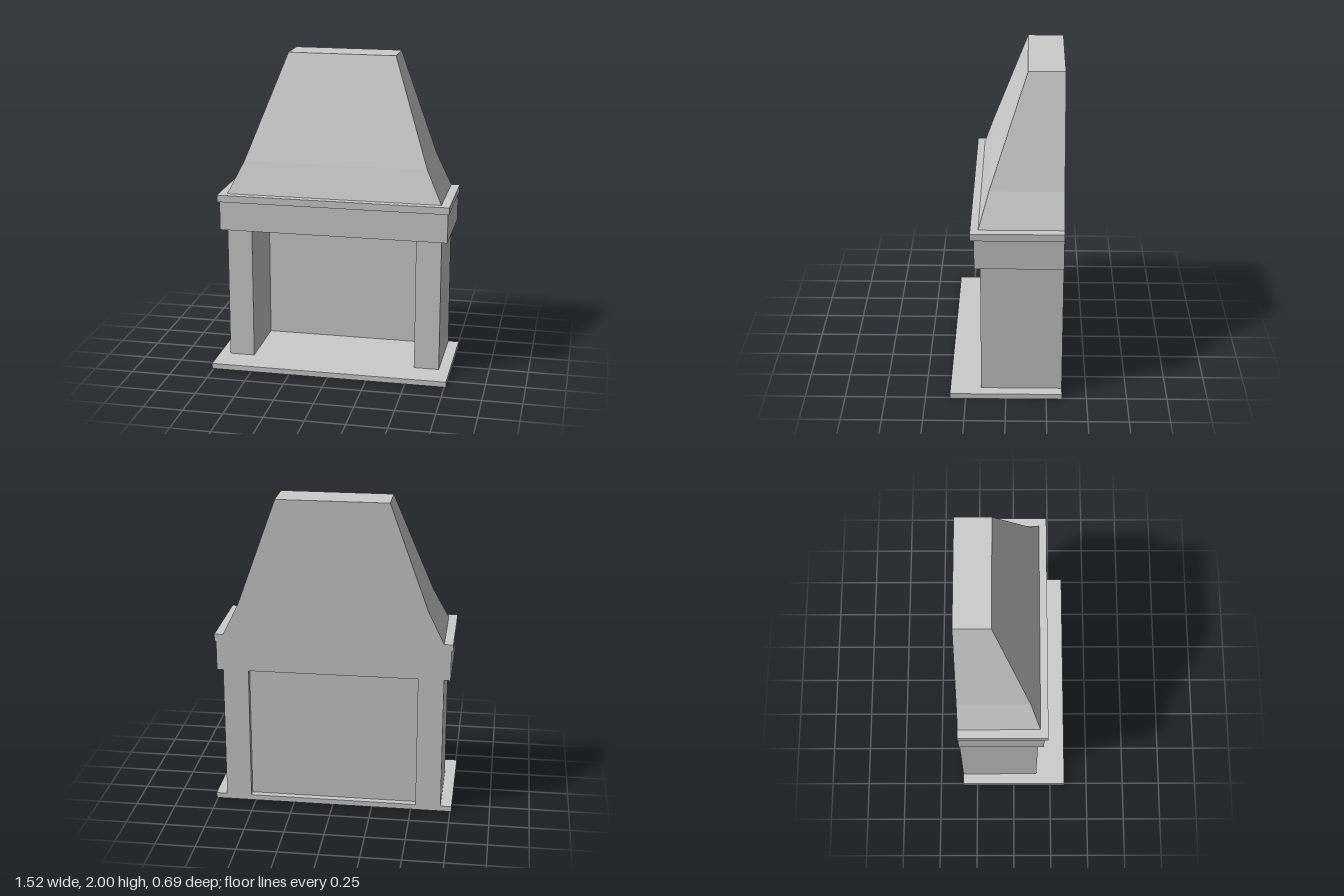
import * as THREE from 'three';

const BACK = -0.347;

export function createModel() {
  const group = new THREE.Group();
  const stone = new THREE.MeshStandardMaterial({ color: 0xcccccc });
  stone.name = 'pale grey stone';

  const add = (name, geometry) => {
    const mesh = new THREE.Mesh(geometry, stone);
    mesh.name = name;
    group.add(mesh);
    return mesh;
  };

  // Box given by its limits on each axis
  const block = (name, x0, x1, y0, y1, z0, z1) => {
    const mesh = add(name, new THREE.BoxGeometry(x1 - x0, y1 - y0, z1 - z0));
    mesh.position.set((x0 + x1) / 2, (y0 + y1) / 2, (z0 + z1) / 2);
    return mesh;
  };

  const rectangle = (Type, x0, x1, z0, z1) => new Type([
    [x0, z0], [x1, z0], [x1, z1], [x0, z1],
  ].map(([x, z]) => new THREE.Vector2(x, -z)));

  // Hearth slab, with sockets under the two side walls
  const slab = rectangle(THREE.Shape, -0.76, 0.76, BACK, 0.347);
  for (const s of [-1, 1]) {
    slab.holes.push(rectangle(THREE.Path, s * 0.53, s * 0.69, BACK + 0.006, 0.155));
  }
  add('hearthSlab', new THREE.ExtrudeGeometry(slab, { depth: 0.035, bevelEnabled: false })
    .rotateX(-Math.PI / 2));

  // Side walls and the recessed back of the firebox
  block('leftWall', 0.53, 0.69, 0.035, 0.895, BACK, 0.155);
  block('rightWall', -0.69, -0.53, 0.035, 0.895, BACK, 0.155);
  block('fireboxBack', -0.53, 0.53, 0.035, 0.895, -0.305, -0.293);

  // Lintel and mantel shelf
  block('lintel', -0.73, 0.73, 0.895, 1.085, BACK, 0.19);
  block('mantelShelf', -0.74, 0.74, 1.085, 1.13, BACK, 0.213);

  // Flared hood: rectangular sections as [height, half width, front z]
  const rings = [[1.13, 0.685, 0.165], [1.335, 0.585, 0.103], [2, 0.345, -0.125]]
    .map(([y, w, z]) => [[-w, y, z], [w, y, z], [w, y, BACK], [-w, y, BACK]]);
  const points = [];
  const quad = (a, b, c, d) => points.push(...a, ...b, ...c, ...a, ...c, ...d);
  for (let r = 0; r < 2; r++) {
    for (let i = 0; i < 4; i++) {
      const j = (i + 1) % 4;
      quad(rings[r][i], rings[r][j], rings[r + 1][j], rings[r + 1][i]);
    }
  }
  quad(...rings[2]);
  const hood = new THREE.BufferGeometry();
  hood.setAttribute('position', new THREE.Float32BufferAttribute(points, 3));
  hood.computeVertexNormals();
  add('hood', hood);

  return group;
}
